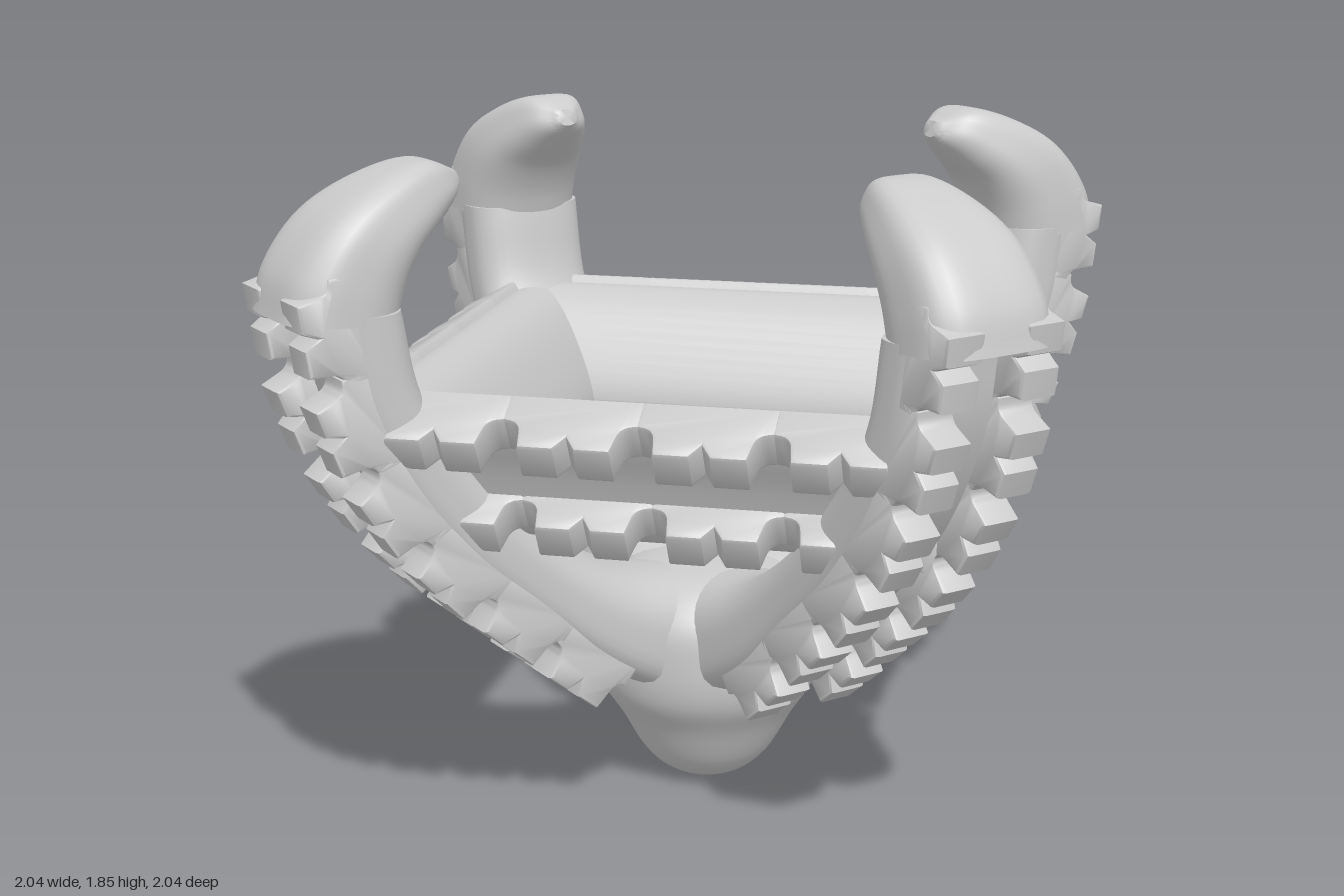
import * as THREE from 'three';
import { toCreasedNormals } from 'three/addons/utils/BufferGeometryUtils.js';

const material = new THREE.MeshStandardMaterial({ color: 0xcccccc });

function addMesh(parent, name, geometry) {
  const mesh = new THREE.Mesh(geometry, material);
  mesh.name = name;
  parent.add(mesh);
  return mesh;
}

// Skin over rings of points, closed around and capped at both ends
function skin(rings) {
  const n = rings[0].length, last = rings.length - 1;
  const points = rings.flat(), index = [];
  const centre = ring => ring.reduce((sum, p) => sum.add(p), new THREE.Vector3()).divideScalar(n);
  points.push(centre(rings[0]), centre(rings[last]));
  for (let j = 0; j < n; j++) {
    const k = (j + 1) % n;
    for (let i = 0; i < last; i++) {
      const a = i * n + j, d = i * n + k;
      index.push(a, a + n, d, a + n, d + n, d);
    }
    index.push(points.length - 2, j, k, points.length - 1, last * n + k, last * n + j);
  }
  const geometry = new THREE.BufferGeometry().setFromPoints(points);
  geometry.setIndex(index);
  return toCreasedNormals(geometry, 0.8);
}

const curveOf = pts => new THREE.CatmullRomCurve3(pts.map(([x, y, z = 0]) => new THREE.Vector3(x, y, z)));

// Rows: outer r, outer y, inner r, inner y, half width. Boxy outside, round inside.
function loft(rows, steps) {
  const outer = curveOf(rows.map(r => [r[0], r[1]]));
  const inner = curveOf(rows.map(r => [r[2], r[3], r[4]]));
  const rings = [];
  for (let i = 0; i <= steps; i++) {
    const o = outer.getPoint(i / steps), q = inner.getPoint(i / steps);
    const width = q.z;
    q.z = 0;
    const ring = [];
    for (let j = 0; j < 40; j++) {
      const a = j / 40 * Math.PI * 2, c = Math.cos(a), s = Math.sin(a);
      const power = c > 0 ? 4 : 2.4;
      const k = Math.pow(Math.abs(c) ** power + Math.abs(s) ** power, -1 / power);
      const p = q.clone().lerp(o, 0.5 + 0.5 * c * k);
      p.z = width * s * k;
      ring.push(p);
    }
    rings.push(ring);
  }
  return skin(rings);
}

// Tread lug: flared foot, flat top with a V notch, raised along +y
function lugGeometry(scale, width) {
  const s = new THREE.Shape();
  s.moveTo(-0.15, -0.07);
  s.lineTo(-0.15, 0);
  s.quadraticCurveTo(-0.11, 0.005, -0.106, 0.05);
  s.lineTo(-0.1, 0.09);
  s.lineTo(-0.03, 0.09);
  s.lineTo(0, 0.045);
  s.lineTo(0.03, 0.09);
  s.lineTo(0.1, 0.09);
  s.lineTo(0.106, 0.05);
  s.quadraticCurveTo(0.11, 0.005, 0.15, 0);
  s.lineTo(0.15, -0.07);
  const g = new THREE.ExtrudeGeometry(s, {
    depth: width - 0.024, bevelThickness: 0.012, bevelSize: 0.01, bevelSegments: 2, curveSegments: 6,
  });
  g.translate(0, 0, -width / 2 + 0.012);
  g.scale(scale, 1, 1);
  return toCreasedNormals(g, 0.6);
}

const armRows = [
  [0.1, 0.25, 0.0, 0.62, 0.2],
  [0.4, 0.42, 0.3, 0.68, 0.19],
  [0.64, 0.62, 0.49, 0.79, 0.18],
  [0.85, 0.81, 0.65, 0.93, 0.18],
  [1.02, 1.03, 0.8, 1.1, 0.18],
  [1.13, 1.27, 0.91, 1.27, 0.18],
  [1.17, 1.5, 0.96, 1.5, 0.18],
];
const hornRows = [
  [1.28, 1.49, 0.96, 1.47, 0.18],
  [1.25, 1.6, 0.935, 1.55, 0.178],
  [1.15, 1.73, 0.89, 1.63, 0.165],
  [1.0, 1.815, 0.83, 1.69, 0.13],
  [0.86, 1.848, 0.78, 1.74, 0.085],
  [0.77, 1.815, 0.755, 1.77, 0.03],
];

// One curved arm in its own x-y plane, with its tread and horn
function makeArm(geo) {
  const arm = new THREE.Group();
  arm.name = 'arm';
  addMesh(arm, 'armBody', geo.arm);
  addMesh(arm, 'horn', geo.horn);
  const path = curveOf(armRows.map(r => [r[0], r[1]]));
  const length = path.getLength();
  for (let i = 0; i < 6; i++) {
    const u = (length - 0.03 - i * 0.25) / length;
    const p = path.getPointAt(u), t = path.getTangentAt(u);
    for (const side of [-1, 1]) {
      const lug = addMesh(arm, 'armTreadLug', geo.armLug);
      lug.position.set(p.x, p.y, side * 0.12);
      // local x runs down the arm so that local y points outward
      lug.rotation.z = Math.atan2(-t.y, -t.x);
    }
  }
  return arm;
}

// One mitred side of the square ring, on the +z side
function makeBar(geo) {
  const bar = new THREE.Group();
  bar.name = 'ringSide';
  addMesh(bar, 'ringBar', geo.bar);
  const tilt = Math.atan2(0.49, 0.87);
  const tread = new THREE.Group();
  tread.name = 'ringTread';
  tread.position.set(0, 1.07, 0.7);
  tread.rotation.x = Math.PI / 2 + tilt; // local y outward and down, local z down the face
  bar.add(tread);
  for (const x of [-0.51, -0.17, 0.17, 0.51]) {
    for (const side of [-1, 1]) {
      addMesh(tread, 'ringTreadLug', geo.ringLug).position.set(x, 0, side * 0.145);
    }
  }
  return bar;
}

function barGeometry() {
  const section = [[0.61, 0.91], [0.68, 1.06], [0.75, 1.2], [0.73, 1.25], [0.67, 1.26], [0.59, 1.22],
    [0.5, 1.1], [0.445, 0.97], [0.45, 0.89], [0.5, 0.86], [0.57, 0.865]];
  const curve = curveOf(section.map(([d, y]) => [0, y, d]));
  curve.closed = true;
  const outline = curve.getPoints(48).slice(0, 48);
  return skin([-1, 1].map(end => outline.map(p => new THREE.Vector3(end * p.z, p.y, p.z))));
}

export function createModel() {
  const model = new THREE.Group();
  model.name = 'treadedCradle';

  const geo = {
    arm: loft(armRows, 40),
    horn: loft(hornRows, 32),
    armLug: lugGeometry(0.86, 0.11),
    bar: barGeometry(),
    ringLug: lugGeometry(1.08, 0.11),
  };

  // Rounded foot where the arms meet
  const profile = new THREE.SplineCurve([[0, 0], [0.1, 0.015], [0.18, 0.08], [0.25, 0.2], [0.31, 0.3],
    [0.325, 0.42], [0.305, 0.54], [0.2, 0.63], [0, 0.65]].map(p => new THREE.Vector2(...p)));
  const points = profile.getPoints(40);
  points.forEach(p => { p.x = Math.max(p.x, 0); });
  addMesh(model, 'foot', new THREE.LatheGeometry(points, 48));

  for (let i = 0; i < 4; i++) {
    const arm = makeArm(geo), bar = makeBar(geo);
    arm.rotation.y = Math.PI / 4 + i * Math.PI / 2;
    bar.rotation.y = i * Math.PI / 2;
    model.add(arm, bar);
  }
  return model;
}
